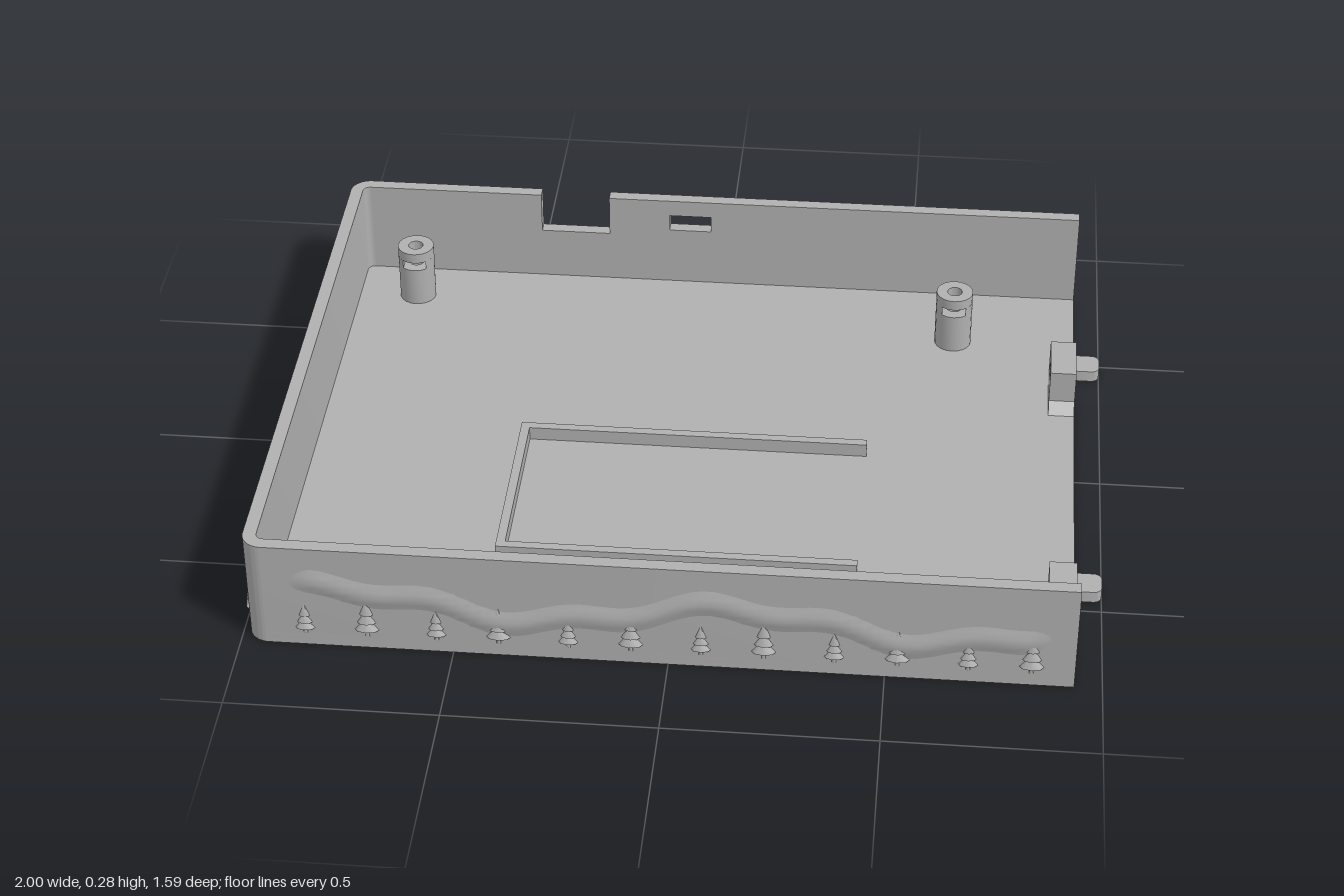
import * as THREE from 'three';
import { toCreasedNormals } from 'three/addons/utils/BufferGeometryUtils.js';

const grey = new THREE.MeshStandardMaterial({ color: 0xb0b0b0 });
grey.name = 'plain grey';

const X0 = -0.985, X1 = 0.935, Z0 = -0.795, Z1 = 0.777;
const FLOOR = 0.03, TOP = 0.28, WALL = 0.032;

export function createModel() {
  const model = new THREE.Group();
  model.name = 'openTray';

  const add = (name, geo, parent = model) => {
    const mesh = new THREE.Mesh(geo, grey);
    mesh.name = name;
    parent.add(mesh);
    return mesh;
  };
  const extrude = (shape, depth) => toCreasedNormals(
    new THREE.ExtrudeGeometry(shape, { depth, bevelEnabled: false, curveSegments: 10 }), 0.6);
  // Plan shapes use (x, -z) and rise from y0 to y1
  const rise = (shape, y0, y1) => extrude(shape, y1 - y0).rotateX(-Math.PI / 2).translate(0, y0, 0);
  const rectPath = (Type, x0, x1, y0, y1) => {
    const p = new Type();
    p.moveTo(x0, y0); p.lineTo(x1, y0); p.lineTo(x1, y1); p.lineTo(x0, y1); p.closePath();
    return p;
  };
  const box = (name, x0, x1, y0, y1, z0, z1) =>
    add(name, new THREE.BoxGeometry(x1 - x0, y1 - y0, z1 - z0)
      .translate((x0 + x1) / 2, (y0 + y1) / 2, (z0 + z1) / 2));

  // Floor: lower layer has a strap channel, upper layer has a slot at each end of it
  const R = 0.05;
  const floorShape = () => {
    const s = new THREE.Shape();
    s.moveTo(X1, -Z1);
    s.lineTo(X1, -Z0);
    s.lineTo(X0 + R, -Z0);
    s.absarc(X0 + R, -Z0 - R, R, Math.PI / 2, Math.PI, false);
    s.lineTo(X0, -Z1 + R);
    s.absarc(X0 + R, -Z1 + R, R, Math.PI, Math.PI * 1.5, false);
    s.closePath();
    return s;
  };
  const lower = floorShape(), upper = floorShape();
  lower.holes.push(rectPath(THREE.Path, -0.055, 0.068, -0.5, 0.065));
  upper.holes.push(rectPath(THREE.Path, -0.055, 0.068, -0.5, -0.47));
  upper.holes.push(rectPath(THREE.Path, -0.055, 0.068, 0.042, 0.065));
  add('floorLower', rise(lower, 0, 0.015));
  add('floorUpper', rise(upper, 0.015, FLOOR));

  // Front and end walls with both rounded corners
  const r = R - WALL, cx = X0 + R;
  const u = new THREE.Shape();
  u.moveTo(cx, -Z0);
  u.absarc(cx, -Z0 - R, R, Math.PI / 2, Math.PI, false);
  u.lineTo(X0, -Z1 + R);
  u.absarc(cx, -Z1 + R, R, Math.PI, Math.PI * 1.5, false);
  u.lineTo(X1, -Z1);
  u.lineTo(X1, -Z1 + WALL);
  u.lineTo(cx, -Z1 + WALL);
  u.absarc(cx, -Z1 + R, r, Math.PI * 1.5, Math.PI, true);
  u.lineTo(X0 + WALL, -Z0 - R);
  u.absarc(cx, -Z0 - R, r, Math.PI, Math.PI / 2, true);
  u.closePath();
  add('frontAndEndWall', rise(u, FLOOR, TOP));

  // Back wall with a top notch and a small window
  const b = new THREE.Shape();
  b.moveTo(cx, FLOOR);
  for (const [x, y] of [[X1, FLOOR], [X1, TOP], [-0.3, TOP], [-0.3, 0.17],
    [-0.48, 0.17], [-0.48, TOP], [cx, TOP]]) b.lineTo(x, y);
  b.closePath();
  b.holes.push(rectPath(THREE.Path, -0.14, -0.03, 0.19, 0.235));
  add('backWall', extrude(b, WALL).translate(0, 0, Z0));

  // U-shaped rail on the floor
  box('railEnd', -0.445, -0.423, FLOOR, 0.065, -0.045, 0.457);
  for (const z of [-0.045, 0.435]) box('railSide', -0.423, 0.42, FLOOR, 0.065, z, z + 0.022);

  // Screw posts with a nut slot facing the middle
  const PR = 0.047, HR = 0.019;
  const ring = () => {
    const s = new THREE.Shape().absarc(0, 0, PR, 0, Math.PI * 2, false);
    s.holes.push(new THREE.Path().absarc(0, 0, HR, 0, Math.PI * 2, true));
    return s;
  };
  const a = Math.acos(0.03 / PR);
  const cShape = new THREE.Shape();
  cShape.absarc(0, 0, PR, -a, Math.PI + a, false);
  cShape.lineTo(-0.03, 0.025);
  cShape.lineTo(0.03, 0.025);
  cShape.closePath();
  for (const [x, z] of [[-0.8, -0.64], [0.62, -0.545], [-0.8, 0.7], [0.775, 0.7]]) {
    const post = new THREE.Group();
    post.name = 'screwPost';
    post.position.set(x, 0, z);
    if (z > 0) post.rotation.y = Math.PI;
    add('postBase', rise(ring(), FLOOR, 0.135), post);
    add('nutSlot', rise(cShape, 0.135, 0.158), post);
    add('postTop', rise(ring(), 0.158, 0.185), post);
    model.add(post);
  }

  // Screw brackets with flared feet, and the tongues beside them
  for (const z of [0.565, -0.336]) {
    const s = new THREE.Shape();
    s.moveTo(-0.1, FLOOR);
    for (const [x, y] of [[0.1, FLOOR], [0.07, 0.055], [0.07, 0.14], [-0.07, 0.14], [-0.07, 0.055]]) s.lineTo(x, y);
    s.closePath();
    s.holes.push(new THREE.Path().absarc(0, 0.095, 0.022, 0, Math.PI * 2, true));
    add('bracket', extrude(s, 0.065).rotateY(Math.PI / 2).translate(0.87, 0, z));

    const t = new THREE.Shape();
    const z0 = z - 0.17, z1 = z - 0.1, c = 0.02;
    t.moveTo(X1, -z1);
    t.lineTo(1 - c, -z1);
    t.absarc(1 - c, -z1 + c, c, -Math.PI / 2, 0, false);
    t.absarc(1 - c, -z0 - c, c, 0, Math.PI / 2, false);
    t.lineTo(X1, -z0);
    t.closePath();
    add('tongue', rise(t, 0, FLOOR));
  }

  // Shallow hills on the outer walls, sunk into the wall except at their crests
  const hills = (group, length, height) => {
    const geo = new THREE.PlaneGeometry(length, 0.2, 72, 12);
    const p = geo.attributes.position;
    for (let i = 0; i < p.count; i++) {
      const x = p.getX(i), y = p.getY(i) + 0.135;
      const crest = 0.14 + 0.035 * Math.sin(x * 6.8 + 0.6) + 0.015 * Math.sin(x * 20.4);
      const ridge = Math.max(0, 1 - Math.abs(y - crest) / 0.05);
      const end = Math.min(1, (length / 2 - Math.abs(x)) / 0.08);
      p.setXYZ(i, x, y, -0.004 + (height + 0.004) * ridge * end);
    }
    geo.computeVertexNormals();
    add('hills', geo, group);
  };

  // Raised fir tree: flattened cone tiers over a trunk
  const tree = (group, x, h) => {
    const fir = new THREE.Group();
    fir.name = 'firTree';
    fir.position.set(x, 0.035, 0);
    fir.scale.set(1, 1, 0.5);
    add('trunk', new THREE.CylinderGeometry(0.005, 0.005, h * 0.3, 8).translate(0, h * 0.15, 0), fir);
    [[0.27, 0.18, 0.34], [0.21, 0.38, 0.34], [0.15, 0.6, 0.4]].forEach(([rad, y, tall]) =>
      add('branches', new THREE.ConeGeometry(rad * h, tall * h, 8).translate(0, (y + tall / 2) * h, 0), fir));
    group.add(fir);
  };

  const side = (name, pos, turn) => {
    const g = new THREE.Group();
    g.name = name;
    g.position.set(...pos);
    g.rotation.y = turn;
    model.add(g);
    return g;
  };
  const front = side('frontRelief', [0, 0, Z1], 0);
  const end = side('endRelief', [X0, 0, 0], -Math.PI / 2);
  const back = side('backRelief', [0, 0, Z0], Math.PI);
  hills(front, 1.8, 0.01);
  hills(end, 1.44, 0.013);
  // Back hills stop short of the window and notch on either side
  for (const [x, len] of [[-0.44, 0.88], [0.72, 0.4]]) {
    const part = new THREE.Group();
    part.name = 'backHills';
    part.position.x = x;
    back.add(part);
    hills(part, len, 0.005);
  }
  for (let i = 0; i < 6; i++) {
    tree(front, -0.845 + i * 0.307, 0.085);
    tree(front, -0.7 + i * 0.307, 0.105);
  }
  for (let i = 0; i < 5; i++) {
    tree(end, -0.64 + i * 0.3, 0.085);
    tree(end, -0.5 + i * 0.3, 0.105);
  }
  return model;
}
